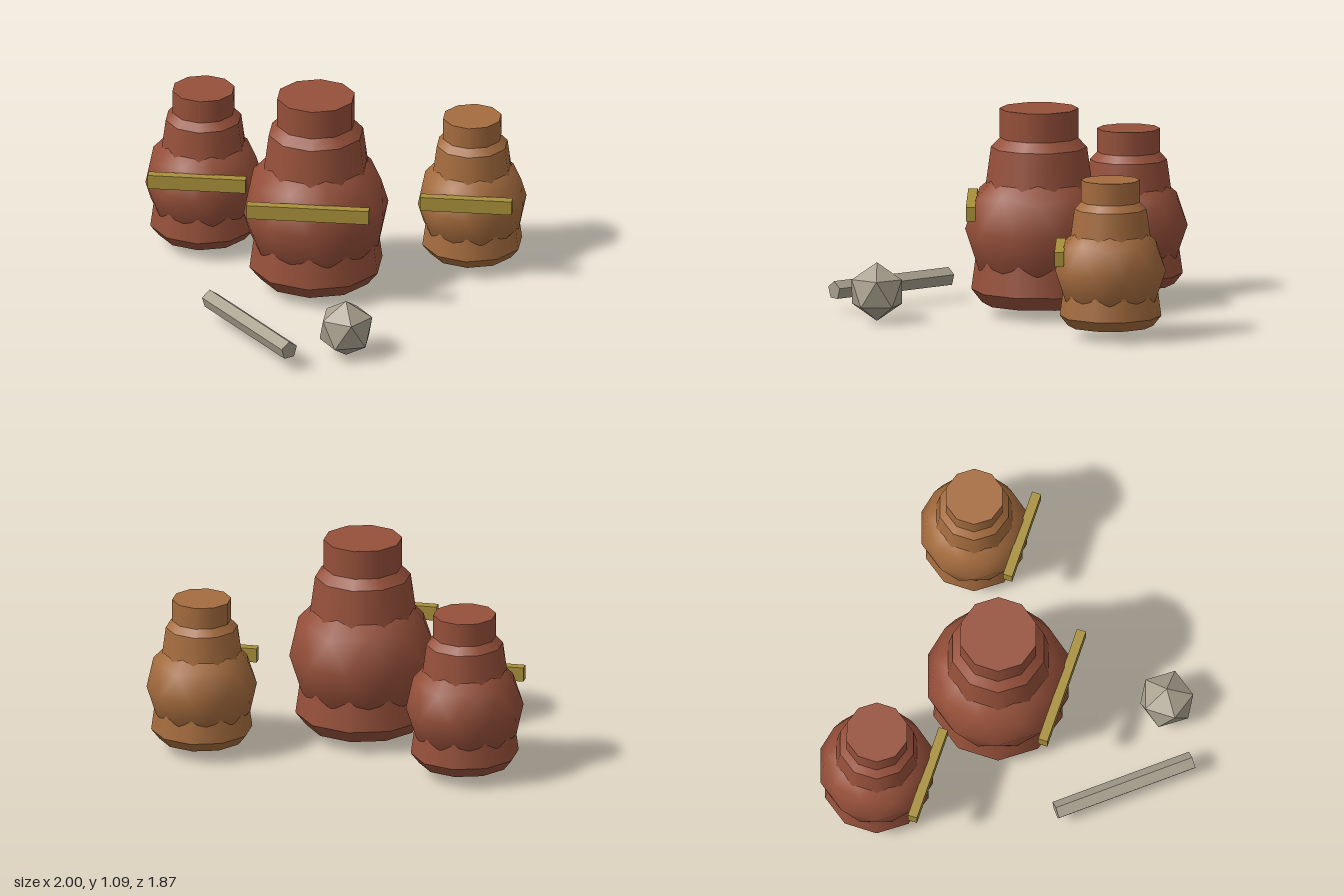
import * as THREE from 'three';

const paint = (color, flatShading = false) => new THREE.MeshStandardMaterial({ color, flatShading });

function add(parent, name, geometry, material, x = 0, y = 0, z = 0) {
  const mesh = new THREE.Mesh(geometry, material);
  mesh.name = name;
  mesh.position.set(x, y, z);
  parent.add(mesh);
  return mesh;
}

// Ten-sided frustum between two heights
function frustum(r0, y0, r1, y1, open = false) {
  return new THREE.CylinderGeometry(r1, r0, y1 - y0, 10, 1, open).translate(0, (y0 + y1) / 2, 0);
}

// Icosphere standing on one of its corners
function icosphere(radius, detail) {
  return new THREE.IcosahedronGeometry(radius, detail).rotateZ(-Math.atan(2 / (1 + Math.sqrt(5))));
}

// Jar with a beveled body, round belly, lip and a straight band in front
function makeJar(name, x, z, s, clay, gold) {
  const jar = new THREE.Group();
  jar.name = name;
  jar.position.set(x, 0.06, z);
  add(jar, 'foot', frustum(0.298 * s, 0, 0.355 * s, 0.072 * s), clay);
  add(jar, 'body', frustum(0.355 * s, 0.072 * s, 0.252 * s, 0.825 * s, true), clay);
  add(jar, 'shoulder', frustum(0.252 * s, 0.825 * s, 0.19 * s, 0.89 * s), clay);
  add(jar, 'belly', icosphere(0.387 * s, 1), clay, 0, 0.39 * s, 0);
  add(jar, 'lip', frustum(0.207 * s, 0.876 * s, 0.207 * s, 1.03 * s), clay);
  add(jar, 'band', new THREE.BoxGeometry(0.645 * s, 0.076, 0.05), gold, 0, 0.515 * s, 0.352 * s);
  return jar;
}

export function createModel() {
  const model = new THREE.Group();
  model.name = 'jarsAndStones';
  const red = paint(0x96503a), orange = paint(0xa56c3e);
  const gold = paint(0xa8903a, true), stone = paint(0xa8a08e, true);

  model.add(
    makeJar('largeJar', -0.058, -0.174, 1, red, gold),
    makeJar('rightJar', -0.705, -0.63, 0.8, red, gold),
    makeJar('leftJar', 0.72, -0.564, 0.75, orange, gold),
  );

  // Five-sided stick lying on a flat side, ridge up
  const stick = new THREE.CylinderGeometry(0.05, 0.05, 0.767, 5).rotateX(-Math.PI / 2);
  add(model, 'stick', stick, stone, -0.317, 0.117, 0.605).rotation.y = Math.atan2(0.49, 0.59);

  add(model, 'pebble', icosphere(0.155, 0), stone, 0.2, 0.155, 0.67);
  return model;
}
